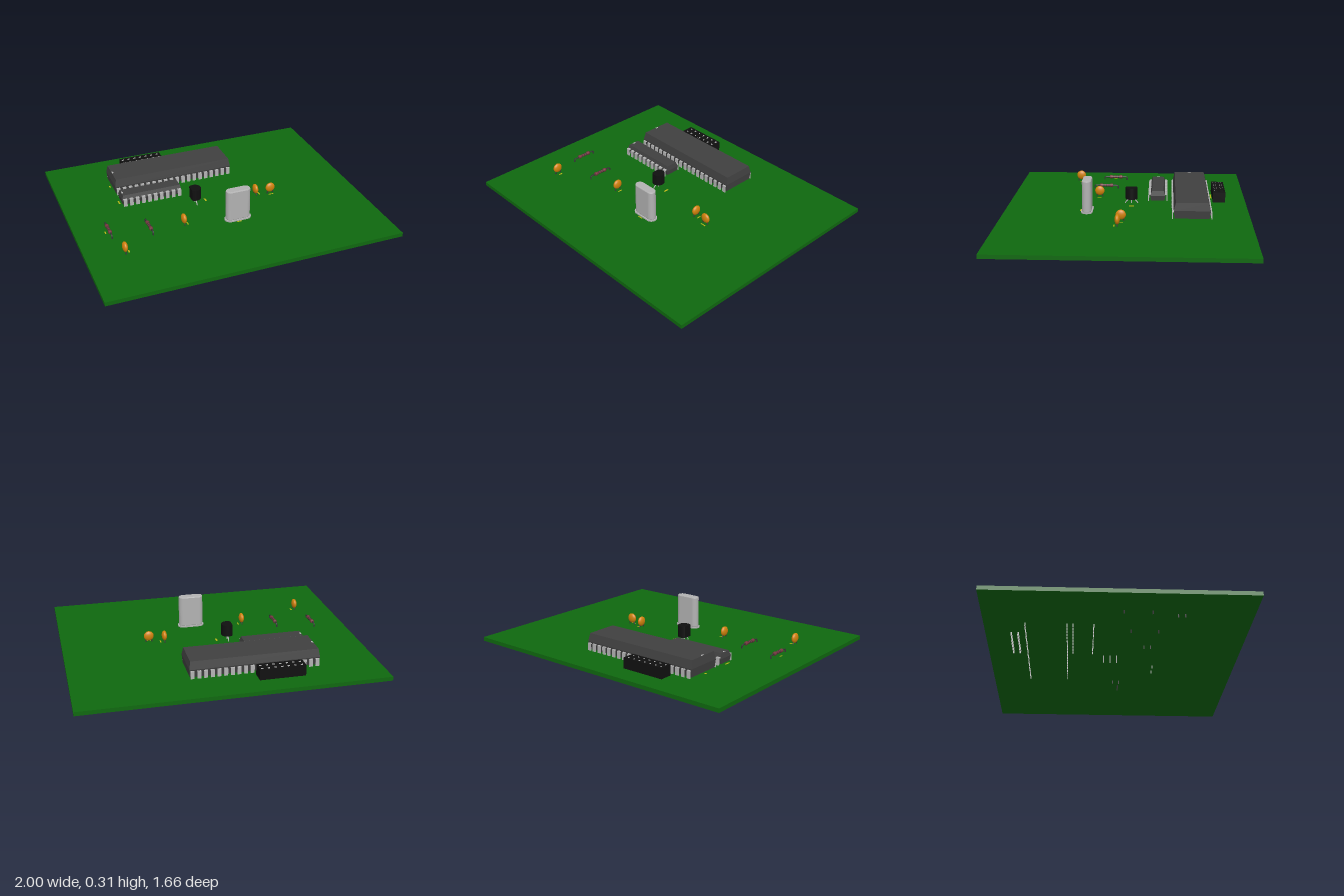
import * as THREE from 'three';

const PITCH = 0.0433, TOP = 0.081, BOTTOM = 0.054, TAIL = 0.03;

const mat = (name, color, extra = {}) => {
  const m = new THREE.MeshStandardMaterial({ color, ...extra });
  m.name = name;
  return m;
};

export function createModel() {
  const M = {
    board: mat('board green', 0x0f680f),
    chip: mat('chip grey', 0x404040),
    black: mat('black plastic', 0x101010),
    metal: mat('lead metal', 0xb4b4b4),
    can: mat('can metal', 0xb2b2b2),
    dark: mat('dark lead', 0x383838),
    orange: mat('capacitor orange', 0xd0820c),
    maroon: mat('resistor maroon', 0x74363f),
    silk: mat('silkscreen yellow', 0xb4b414),
  };
  const root = new THREE.Group();
  root.name = 'circuitBoard';

  const group = (name, x, z) => {
    const g = new THREE.Group();
    g.name = name;
    g.position.set(x, 0, z);
    root.add(g);
    return g;
  };
  const add = (parent, name, geo, material, x = 0, y = 0, z = 0) => {
    const m = new THREE.Mesh(geo, material);
    m.name = name;
    m.position.set(x, y, z);
    parent.add(m);
    return m;
  };
  const box = (parent, name, material, w, y0, y1, d, x = 0, z = 0) =>
    add(parent, name, new THREE.BoxGeometry(w, y1 - y0, d), material, x, (y0 + y1) / 2, z);
  const lead = (parent, material, points, r = 0.004) => {
    const path = new THREE.CurvePath();
    const p = points.map((v) => new THREE.Vector3(...v));
    for (let i = 1; i < p.length; i++) path.add(new THREE.LineCurve3(p[i - 1], p[i]));
    return add(parent, 'lead', new THREE.TubeGeometry(path, 12, r, 6), material);
  };
  // shape drawn in x/z, extruded upward from y0 to y1
  const slab = (parent, name, material, shape, y0, y1, bevel = 0) => {
    const geo = new THREE.ExtrudeGeometry(shape, {
      depth: y1 - y0 - 2 * bevel, curveSegments: 12, bevelEnabled: bevel > 0,
      bevelSize: bevel, bevelOffset: -bevel, bevelThickness: bevel, bevelSegments: 2,
    });
    geo.rotateX(-Math.PI / 2);
    return add(parent, name, geo, material, 0, y0 + bevel, 0);
  };

  // board
  box(root, 'board', M.board, 2, BOTTOM, TOP, 1.66);

  // dual in-line chips
  function chip(name, x, z, n, halfZ, y1, rowZ) {
    const g = group(name, x, z);
    const halfX = n * PITCH / 2 - 0.003, y0 = 0.086, mid = (y0 + y1) / 2;
    let geo = new THREE.BoxGeometry(2 * halfX, y1 - y0, 2 * halfZ, 1, 2, 1);
    const p = geo.attributes.position;
    for (let i = 0; i < p.count; i++) {
      const inset = p.getY(i) > 0.001 ? 0.013 : p.getY(i) < -0.001 ? 0.007 : 0;
      p.setX(i, p.getX(i) - Math.sign(p.getX(i)) * inset * 0.6);
      p.setZ(i, p.getZ(i) - Math.sign(p.getZ(i)) * inset);
    }
    geo = geo.toNonIndexed();
    geo.computeVertexNormals();
    add(g, 'chipBody', geo, M.chip, 0, mid, 0);
    // orientation mark
    const mark = new THREE.CylinderGeometry(0.012, 0.012, 0.002, 16, 1, false, 0, Math.PI);
    add(g, 'notchMark', mark, M.metal, -halfX + 0.009, y1 + 0.0005, 0);
    for (let i = 0; i < n; i++) {
      const px = (i - (n - 1) / 2) * PITCH;
      for (const s of [-1, 1]) {
        const inner = halfZ - 0.01;
        box(g, 'pinArm', M.metal, 0.025, 0.126, 0.132, rowZ - inner, px, s * (rowZ + inner) / 2);
        box(g, 'pinShoulder', M.metal, 0.025, TOP, 0.13, 0.006, px, s * rowZ);
        box(g, 'pinTail', M.metal, 0.009, TAIL, TOP, 0.006, px, s * rowZ);
      }
    }
  }
  chip('largeChip', -0.175, -0.443, 20, 0.122, 0.193, 0.13);
  chip('smallChip', -0.39, -0.212, 10, 0.054, 0.155, 0.065);

  // two-row socket header
  const header = group('socketHeader', -0.32, -0.644);
  const rect = (S, x, y, w, h) => {
    const s = new S();
    s.moveTo(x - w / 2, y - h / 2).lineTo(x + w / 2, y - h / 2)
      .lineTo(x + w / 2, y + h / 2).lineTo(x - w / 2, y + h / 2).closePath();
    return s;
  };
  const face = rect(THREE.Shape, 0, 0, 7 * PITCH, 0.086);
  for (let i = 0; i < 7; i++) {
    for (const s of [-1, 1]) {
      const x = (i - 3) * PITCH, z = s * PITCH / 2;
      face.holes.push(rect(THREE.Path, x, z, 0.022, 0.022));
      for (const k of [-1, 1]) box(header, 'contact', M.metal, 0.016, 0.1, 0.15, 0.004, x, z + k * 0.008);
      box(header, 'headerPin', M.metal, 0.01, TAIL, 0.09, 0.01, x, z);
    }
  }
  slab(header, 'headerBody', M.black, face, 0.1, 0.153);
  box(header, 'headerBase', M.black, 7 * PITCH, TOP, 0.1, 0.086);

  // crystal can
  const crystal = group('crystal', 0.07, 0.266);
  const stadium = (halfLength, r) => {
    const s = new THREE.Shape(), c = halfLength - r;
    s.absarc(c, 0, r, -Math.PI / 2, Math.PI / 2);
    s.absarc(-c, 0, r, Math.PI / 2, Math.PI * 1.5);
    s.closePath();
    return s;
  };
  slab(crystal, 'crystalFlange', M.can, stadium(0.093, 0.039), TOP, 0.09);
  slab(crystal, 'crystalCan', M.can, stadium(0.085, 0.031), 0.088, 0.305, 0.006);
  for (const s of [-1, 1]) lead(crystal, M.metal, [[s * 0.043, TAIL, 0], [s * 0.043, 0.085, 0]]);

  // transistor, rounded towards +x
  const transistor = group('transistor', -0.125, -0.028);
  const dee = new THREE.Shape();
  dee.absarc(0, 0, 0.042, -2.36, 2.36);
  dee.closePath();
  slab(transistor, 'transistorBody', M.black, dee, 0.115, 0.195);
  for (const k of [-1, 0, 1]) {
    lead(transistor, M.metal, [[0, 0, k * PITCH], [0, 0.088, k * PITCH], [0, 0.105, k * 0.024], [0, 0.12, k * 0.024]]);
  }

  // bead capacitors
  for (const [x, z, turn] of [[-0.745, 0.384, 1], [-0.29, 0.208, 1], [0.305, 0.026, 1], [0.41, 0.044, 0]]) {
    const g = group('capacitor', x, z);
    g.rotation.y = turn * Math.PI / 2;
    const bead = add(g, 'capacitorBead', new THREE.SphereGeometry(0.034, 24, 16), M.orange, 0, 0.125, 0);
    bead.scale.z = 0.52;
    for (const s of [-1, 1]) {
      lead(g, M.dark, [[s * PITCH / 2, TAIL, 0], [s * PITCH / 2, 0.085, 0], [s * 0.014, 0.105, 0]]);
    }
  }

  // resistors, lying along z
  const profile = [[0, -0.05], [0.011, -0.049], [0.013, -0.044], [0.013, -0.031], [0.01, -0.025],
    [0.01, 0.025], [0.013, 0.031], [0.013, 0.044], [0.011, 0.049], [0, 0.05]];
  for (const [x, z] of [[-0.78, 0.118], [-0.52, 0.175]]) {
    const g = group('resistor', x, z);
    const geo = new THREE.LatheGeometry(profile.map((p) => new THREE.Vector2(...p)), 16).rotateX(Math.PI / 2);
    add(g, 'resistorBody', geo, M.maroon, 0, 0.104, 0);
    for (const b of [-0.018, 0, 0.018]) {
      const band = new THREE.CylinderGeometry(0.0106, 0.0106, 0.006, 16).rotateX(Math.PI / 2);
      add(g, 'colourBand', band, M.dark, 0, 0.104, b);
    }
    for (const s of [-1, 1]) {
      lead(g, M.dark, [[0, TAIL, s * 0.087], [0, 0.098, s * 0.087], [0, 0.104, s * 0.081], [0, 0.104, s * 0.045]], 0.005);
    }
  }

  // small printed marks beside the parts: x, z, width, depth
  const marks = [[-0.32, -0.592, 0.1, 0.008], [-0.617, -0.443, 0.01, 0.02], [-0.615, -0.212, 0.01, 0.04],
    [-0.048, -0.03, 0.012, 0.035], [0.065, 0.312, 0.035, 0.008], [-0.72, 0.38, 0.01, 0.025],
    [-0.265, 0.208, 0.008, 0.03], [0.332, 0.026, 0.008, 0.03], [0.41, 0.065, 0.04, 0.008],
    [-0.803, 0.12, 0.008, 0.025]];
  for (const [x, z, w, d] of marks) box(root, 'printedMark', M.silk, w, TOP, TOP + 0.001, d, x, z);

  return root;
}
